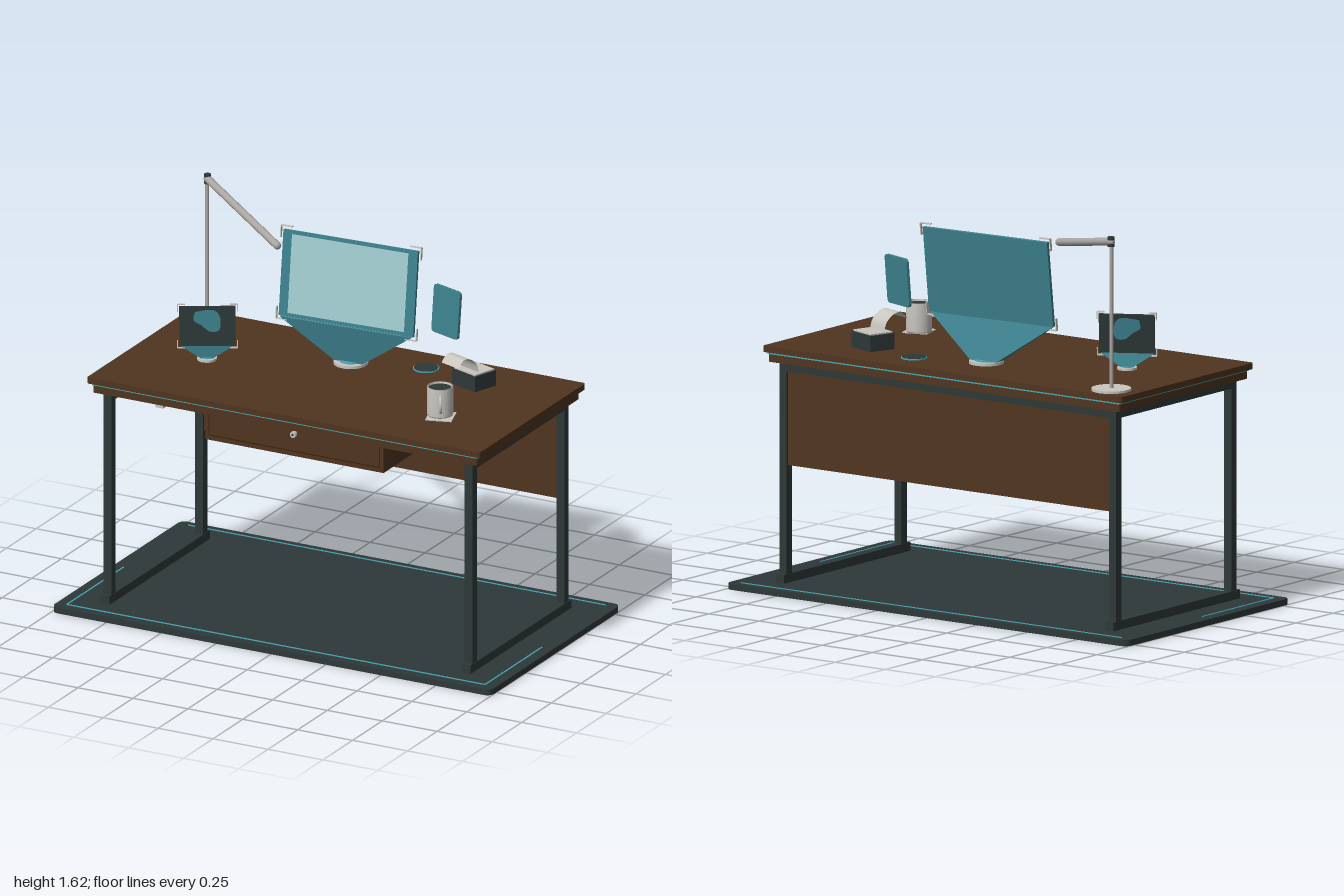
import * as THREE from 'three';

const mat = (name, color) => Object.assign(new THREE.MeshStandardMaterial({ color }), { name });

export function createModel() {
  const root = new THREE.Group();
  root.name = 'desk';
  const wood = mat('walnut', 0x50351f);
  const dark = mat('darkMetal', 0x2e3838);
  const teal = mat('tealGlass', 0x3d828e);
  const screen = mat('paleScreen', 0xa2cdd1);
  const cyan = mat('cyanGlow', 0x45a8b6);
  const light = mat('lightGrey', 0xc9c6c0);
  const grey = mat('lampGrey', 0xaaa7a2);
  const edge = mat('darkWoodLine', 0x38230f);
  teal.side = light.side = THREE.DoubleSide;

  const add = (name, geo, m, x = 0, y = 0, z = 0, parent = root) => {
    const mesh = new THREE.Mesh(geo, m);
    mesh.name = name;
    mesh.position.set(x, y, z);
    parent.add(mesh);
    return mesh;
  };
  const box = (name, m, w, h, d, x, y, z, parent) => add(name, new THREE.BoxGeometry(w, h, d), m, x, y, z, parent);
  const disc = (name, m, r, h, x, y, z, parent) => add(name, new THREE.CylinderGeometry(r, r, h, 32), m, x, y, z, parent);
  const group = (name, x, y, z, yaw = 0, tilt = 0) => {
    const g = new THREE.Group();
    g.name = name;
    g.position.set(x, y, z);
    g.rotation.set(tilt, yaw, 0, 'YXZ');
    root.add(g);
    return g;
  };
  const roundRect = (w, h, r) => {
    const s = new THREE.Shape(), x = w / 2, y = h / 2;
    s.absarc(x - r, y - r, r, 0, Math.PI / 2);
    s.absarc(-x + r, y - r, r, Math.PI / 2, Math.PI);
    s.absarc(-x + r, -y + r, r, Math.PI, Math.PI * 1.5);
    s.absarc(x - r, -y + r, r, Math.PI * 1.5, Math.PI * 2);
    return s;
  };
  // Horizontal slab with rounded corners, bottom at y = 0
  const slab = (w, d, h, r) => new THREE.ExtrudeGeometry(roundRect(w, d, r),
    { depth: h, bevelEnabled: false, curveSegments: 5 }).rotateX(-Math.PI / 2);

  // Floor mat with glowing lines
  add('floorMat', slab(2, 1.1, 0.025, 0.03), dark);
  box('matLineFront', cyan, 1.9, 0.004, 0.006, 0, 0.026, 0.505);
  box('matLineBack', cyan, 1.9, 0.004, 0.005, 0, 0.026, -0.515);
  for (const s of [-1, 1]) box('matLineSide', cyan, 0.007, 0.004, 0.48, s * 0.952, 0.026, 0.265);

  // Leg frames
  for (const s of [-1, 1]) {
    for (const z of [-0.387, 0.387]) box('leg', dark, 0.036, 0.87, 0.036, s * 0.822, 0.46, z);
    box('footRail', dark, 0.04, 0.036, 0.85, s * 0.822, 0.043, 0);
    box('sideRail', dark, 0.036, 0.036, 0.81, s * 0.822, 0.907, 0);
  }
  box('backRail', dark, 1.61, 0.036, 0.036, 0, 0.907, -0.387);
  box('modestyPanel', wood, 1.61, 0.385, 0.02, 0, 0.6975, -0.385);

  // Layered top
  add('lowerTop', slab(1.75, 0.865, 0.032, 0.01), wood, 0, 0.925);
  add('topInlay', slab(1.76, 0.872, 0.008, 0.01), cyan, 0, 0.957);
  add('upperTop', slab(1.79, 0.892, 0.025, 0.012), wood, 0, 0.965);

  // Drawer
  box('drawer', wood, 0.81, 0.143, 0.69, 0, 0.8535, 0.005);
  for (const s of [-1, 1]) box('drawerTrim', edge, 0.004, 0.115, 0.004, s * 0.388, 0.86, 0.35);
  for (const y of [0.803, 0.917]) box('drawerTrim', edge, 0.776, 0.004, 0.004, 0, y, 0.35);
  disc('drawerKnob', light, 0.013, 0.016, 0, 0.878, 0.358).rotation.x = Math.PI / 2;
  disc('knobCentre', dark, 0.005, 0.002, 0, 0.878, 0.367).rotation.x = Math.PI / 2;
  box('hook', light, 0.035, 0.014, 0.03, -0.575, 0.917, 0.41);

  const TOP = 0.99;

  // Lamp
  disc('lampBase', light, 0.08, 0.01, -0.775, TOP + 0.005, -0.35);
  disc('lampPole', grey, 0.008, 0.6, -0.775, 1.295, -0.35);
  const a = new THREE.Vector3(-0.775, 1.597, -0.352), b = new THREE.Vector3(-0.3, 1.493, -0.06);
  const arm = add('lampArm', new THREE.CapsuleGeometry(0.016, a.distanceTo(b), 4, 12), grey);
  arm.position.copy(a).lerp(b, 0.5);
  arm.quaternion.setFromUnitVectors(new THREE.Vector3(0, 1, 0), b.clone().sub(a).normalize());
  disc('lampJoint', dark, 0.014, 0.04, -0.775, 1.597, -0.352);

  // Corner brackets round a floating panel
  const brackets = (parent, w, h, len) => {
    for (const sx of [-1, 1]) for (const sy of [-1, 1]) {
      box('cornerBracket', light, len, 0.004, 0.012, sx * (w - len) / 2, sy * h / 2, 0, parent);
      box('cornerBracket', light, 0.004, len, 0.012, sx * w / 2, sy * (h - len) / 2, 0, parent);
    }
  };
  // Light fan from a base disc up to a panel's lower edge
  const fan = (parent, w, foot, depth, h, shift) => {
    const g = new THREE.BoxGeometry(1, h, 1), p = g.attributes.position;
    for (let i = 0; i < p.count; i++) {
      const up = p.getY(i) > 0;
      p.setX(i, p.getX(i) * (up ? w : foot));
      p.setZ(i, up ? p.getZ(i) * 0.012 + shift : p.getZ(i) * depth);
    }
    g.computeVertexNormals();
    add('projectionFan', g, teal, 0, h / 2 + 0.01, 0, parent);
  };

  // Large display
  const stand = group('displayStand', -0.04, TOP, -0.2, 0.057);
  disc('displayBase', light, 0.07, 0.012, 0, 0.006, 0, stand);
  disc('displayBaseGlow', cyan, 0.048, 0.004, 0, 0.013, 0, stand);
  fan(stand, 0.58, 0.12, 0.05, 0.16, 0.045);
  const display = group('display', -0.038, 1.34, -0.18, 0.057, -0.13);
  box('displayFrame', teal, 0.595, 0.355, 0.014, 0, 0, 0, display);
  box('displayScreen', screen, 0.515, 0.325, 0.004, 0, 0.001, 0.008, display);
  brackets(display, 0.62, 0.385, 0.05);

  // Small display with a map patch on both faces
  const smallStand = group('smallStand', -0.567, TOP, 0.037, 0.51);
  disc('smallBase', light, 0.04, 0.01, 0, 0.005, 0, smallStand);
  disc('smallBaseGlow', cyan, 0.026, 0.003, 0, 0.011, 0, smallStand);
  fan(smallStand, 0.22, 0.05, 0.03, 0.055, 0.008);
  const small = group('smallDisplay', -0.565, 1.134, 0.038, 0.51, -0.1);
  box('smallPanel', dark, 0.225, 0.163, 0.012, 0, 0, 0, small);
  const patch = new THREE.Shape(new THREE.SplineCurve([[-0.05, 0.06], [0.02, 0.068], [0.05, 0.04], [0.048, -0.015],
    [0.01, -0.022], [-0.025, 0.005], [-0.055, 0.025], [-0.05, 0.06]].map(p => new THREE.Vector2(...p))).getPoints(28));
  for (const z of [0.0072, -0.0072]) add('mapPatch', new THREE.ShapeGeometry(patch), teal, 0, 0, z, small);
  brackets(small, 0.24, 0.18, 0.03);

  // Floating card and its projector puck
  const card = group('floatingCard', 0.385, 1.28, -0.22, -0.32, -0.08);
  add('cardPanel', new THREE.ExtrudeGeometry(roundRect(0.152, 0.2, 0.015),
    { depth: 0.012, bevelEnabled: false, curveSegments: 4 }), teal, 0, 0, -0.006, card);
  disc('puckRim', cyan, 0.053, 0.005, 0.255, TOP + 0.0025, -0.288);
  disc('puck', dark, 0.049, 0.007, 0.255, TOP + 0.0035, -0.288);

  // Printer with a curled paper strip
  const printer = group('printer', 0.51, TOP, -0.22, -0.33);
  box('printerBody', dark, 0.135, 0.066, 0.115, 0, 0.033, 0, printer);
  box('printerLid', light, 0.125, 0.008, 0.105, 0, 0.068, 0, printer);
  const curl = new THREE.SplineCurve([[0.02, 0.07], [0.033, 0.11], [0.07, 0.14], [0.105, 0.142], [0.132, 0.115]]
    .map(p => new THREE.Vector2(...p)));
  const strip = new THREE.PlaneGeometry(0.1, 1, 1, 16), sp = strip.attributes.position;
  for (let i = 0; i < sp.count; i++) {
    const c = curl.getPoint(sp.getY(i) + 0.5);
    sp.setXYZ(i, sp.getX(i), c.y, c.x);
  }
  strip.computeVertexNormals();
  add('paperStrip', strip, light, 0, 0, 0, printer);

  // Mug on a square coaster
  box('coaster', light, 0.107, 0.004, 0.107, 0.565, TOP + 0.002, 0.163).rotation.y = 0.3;
  const mug = group('mug', 0.555, TOP + 0.004, 0.15, -1.05);
  const profile = [[0, 0], [0.05, 0], [0.053, 0.006], [0.053, 0.122], [0.047, 0.122], [0.047, 0.1]];
  add('mugBody', new THREE.LatheGeometry(profile.map(p => new THREE.Vector2(...p)), 32), light, 0, 0, 0, mug);
  disc('coffee', dark, 0.0475, 0.003, 0, 0.113, 0, mug);
  const handle = add('mugHandle', new THREE.TorusGeometry(0.034, 0.006, 8, 20, Math.PI), light, 0.05, 0.062, 0, mug);
  handle.rotation.z = -Math.PI / 2;
  handle.scale.y = 0.8;

  return root;
}
